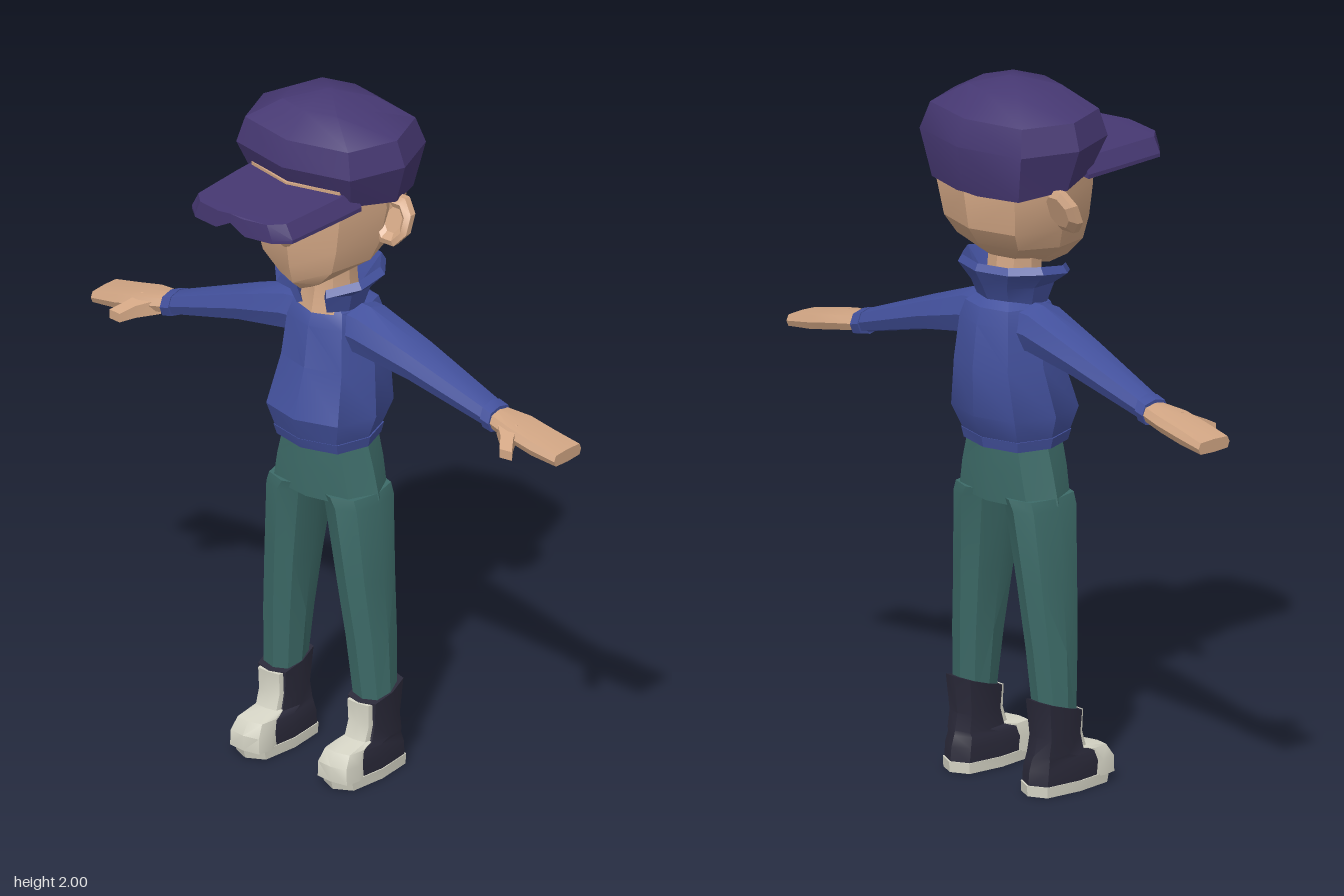
import * as THREE from 'three';
import { toCreasedNormals } from 'three/addons/utils/BufferGeometryUtils.js';

const mat = (name, color) => {
  const m = new THREE.MeshStandardMaterial({ color });
  m.name = name;
  return m;
};

// Cross-section in the horizontal plane; yb lets the back sit at another height.
function ring(y, cx, hw, zf, zb, { n = 8, e = 0.75, yb = y } = {}) {
  const pts = [];
  for (let i = 0; i < n; i++) {
    const a = (i / n) * Math.PI * 2;
    const pw = (v) => Math.sign(v) * Math.pow(Math.abs(v) < 1e-6 ? 0 : Math.abs(v), e);
    const c = pw(Math.cos(a)), s = pw(Math.sin(a));
    pts.push([cx + hw * c, y + (yb - y) * (1 - s) / 2, (zf + zb) / 2 + (zf - zb) / 2 * s]);
  }
  return pts;
}

// Cross-section across a limb that runs along x.
function limb(x, yTop, yBottom, zf, zb, e = 0.8) {
  return ring(0, (yTop + yBottom) / 2, (yTop - yBottom) / 2, zf, zb, { e }).map(([y, , z]) => [x, y, z]);
}

// Closed skin over a row of cross-sections, wound outwards; side -1 mirrors it in x.
function loft(rings, side = 1, crease = 0.5) {
  const n = rings[0].length, tris = [];
  const R = rings.map((r) => r.map(([x, y, z]) => new THREE.Vector3(x * side, y, z)));
  for (let j = 0; j + 1 < R.length; j++) {
    for (let i = 0; i < n; i++) {
      const k = (i + 1) % n;
      tris.push([R[j][i], R[j + 1][i], R[j + 1][k]], [R[j][i], R[j + 1][k], R[j][k]]);
    }
  }
  const cap = (r, flip) => {
    const c = r.reduce((s, p) => s.add(p), new THREE.Vector3()).divideScalar(n);
    r.forEach((p, i) => tris.push(flip ? [c, r[(i + 1) % n], p] : [c, p, r[(i + 1) % n]]));
  };
  cap(R[0], false);
  cap(R[R.length - 1], true);
  const cross = new THREE.Vector3();
  const volume = tris.reduce((s, [a, b, c]) => s + a.dot(cross.crossVectors(b, c)), 0);
  const pos = [];
  for (const [a, b, c] of tris) for (const p of volume > 0 ? [a, b, c] : [a, c, b]) pos.push(p.x, p.y, p.z);
  const g = new THREE.BufferGeometry();
  g.setAttribute('position', new THREE.Float32BufferAttribute(pos, 3));
  return toCreasedNormals(g, crease);
}

export function createModel() {
  const group = new THREE.Group();
  const skin = mat('skin', 0xd2a684), purple = mat('cap purple', 0x463872), blue = mat('jacket blue', 0x43519d);
  const green = mat('trouser green', 0x3d6b68), dark = mat('boot dark', 0x2a2939), cream = mat('boot cream', 0xd6d5c6);
  const add = (name, material, rings, side, crease) => {
    const m = new THREE.Mesh(loft(rings, side, crease), material);
    m.name = name;
    group.add(m);
  };

  // Head, nose and neck
  add('head', skin, [
    ring(1.79, 0, 0.2, 0.085, -0.29),
    ring(1.7, 0, 0.2, 0.085, -0.297),
    ring(1.6, 0, 0.182, 0.08, -0.28),
    ring(1.53, 0, 0.157, 0.07, -0.245, { yb: 1.55 }),
    ring(1.475, 0, 0.09, 0.055, -0.2, { yb: 1.51 }),
    ring(1.445, 0, 0.03, 0.02, -0.15, { yb: 1.49 }),
  ], 1, 0.4);
  add('nose', skin, [
    [[0.008, 1.67, 0.07], [0, 1.67, 0.088], [-0.008, 1.67, 0.07]],
    [[0.02, 1.605, 0.07], [0, 1.61, 0.105], [-0.02, 1.605, 0.07]],
    [[0.012, 1.595, 0.07], [0, 1.595, 0.088], [-0.012, 1.595, 0.07]],
  ], 1, 0.2);
  add('neck', skin, [ring(1.35, 0, 0.085, -0.025, -0.19), ring(1.42, 0, 0.068, -0.04, -0.18), ring(1.53, 0, 0.065, -0.04, -0.17)]);

  // Cap crown and brim
  add('capCrown', purple, [
    ring(1.745, 0, 0.222, 0.055, -0.295, { yb: 1.7 }),
    ring(1.84, 0, 0.26, 0.1, -0.322),
    ring(1.915, 0, 0.235, 0.08, -0.295),
    ring(1.975, 0, 0.125, 0.005, -0.215),
    ring(2.0, 0, 0.012, -0.1, -0.12),
  ], 1, 0.55);
  const brim = (z, hw, top, t) => [
    [hw, top - 0.043, z], [hw * 0.87, top, z], [0, top + 0.004, z], [-hw * 0.87, top, z], [-hw, top - 0.043, z],
    [-hw, top - 0.043 - t * 0.4, z], [-hw * 0.8, top - t, z], [0, top - t + 0.004, z], [hw * 0.8, top - t, z], [hw, top - 0.043 - t * 0.4, z],
  ];
  add('capBrim', purple, [brim(-0.01, 0.19, 1.78, 0.03), brim(0.1, 0.187, 1.78, 0.027),
    brim(0.27, 0.177, 1.779, 0.025), brim(0.308, 0.135, 1.779, 0.023), brim(0.322, 0.05, 1.779, 0.02)], 1, 0.3);

  // Jacket body, hem and open collar
  add('jacket', blue, [
    ring(0.985, 0, 0.137, 0.025, -0.225),
    ring(1.06, 0, 0.163, 0.05, -0.262),
    ring(1.2, 0, 0.138, 0.005, -0.265),
    ring(1.32, 0, 0.125, -0.012, -0.25),
    ring(1.365, 0, 0.11, -0.03, -0.235),
    ring(1.39, 0, 0.075, -0.05, -0.2),
  ], 1, 0.55);
  add('jacketHem', blue, [ring(0.965, 0, 0.138, 0.02, -0.225), ring(0.995, 0, 0.145, 0.03, -0.232)]);
  const collar = [];
  for (let i = 0; i <= 8; i++) {
    const a = THREE.MathUtils.degToRad(32 + i * 37), f = Math.max(0, Math.cos(a));
    const p = (rx, rz, y) => [rx * Math.sin(a), y, -0.108 + rz * Math.cos(a)];
    const top = 1.493 - 0.04 * f;
    collar.push([p(0.1, 0.095, 1.37), p(0.118, 0.12, 1.425), p(0.165, 0.148, top - 0.02), p(0.15, 0.138, top), p(0.092, 0.1, 1.42), p(0.08, 0.08, 1.37)]);
  }
  add('collar', blue, collar, 1, 0.4);

  // Trouser seat
  add('trouserSeat', green, [
    ring(0.99, 0, 0.125, 0, -0.215),
    ring(0.9, 0, 0.152, 0.002, -0.217),
    ring(0.81, 0, 0.174, -0.002, -0.212),
  ]);

  for (const s of [1, -1]) {
    const side = s > 0 ? 'left' : 'right';
    // Ear, a slanted flat disc
    const ear = (z, r) => Array.from({ length: 8 }, (_, i) => {
      const a = ((i + 0.5) / 8) * Math.PI * 2, y = r * 1.13 * Math.sin(a);
      return [0.213 + r * Math.cos(a), 1.665 + y, z - y * 0.4];
    });
    add(side + 'Ear', skin, [ear(-0.15, 0.042), ear(-0.135, 0.06), ear(-0.115, 0.06), ear(-0.105, 0.045), ear(-0.118, 0.03)], s, 0.4);

    // Sleeve and cuff
    add(side + 'Sleeve', blue, [
      limb(0.06, 1.38, 1.24, -0.05, -0.2),
      limb(0.13, 1.375, 1.24, -0.045, -0.2),
      limb(0.3, 1.313, 1.213, -0.06, -0.193),
      limb(0.56, 1.213, 1.147, -0.085, -0.172),
    ], s);
    add(side + 'Cuff', blue, [limb(0.548, 1.22, 1.143, -0.08, -0.177), limb(0.578, 1.21, 1.137, -0.08, -0.177)], s);

    // Hand and thumb
    add(side + 'Hand', skin, [
      limb(0.56, 1.203, 1.15, -0.09, -0.17),
      limb(0.65, 1.19, 1.138, -0.07, -0.188, 0.6),
      limb(0.73, 1.172, 1.122, -0.07, -0.187, 0.5),
      limb(0.815, 1.152, 1.115, -0.074, -0.19, 0.4),
    ], s, 0.4);
    const thumb = (x, z, w, y, h) => [[x - w, y - h, z], [x + w, y - h, z - 0.005], [x + w, y + h, z - 0.005], [x - w, y + h, z]];
    add(side + 'Thumb', skin, [thumb(0.625, -0.1, 0.035, 1.165, 0.022), thumb(0.662, -0.055, 0.02, 1.15, 0.018), thumb(0.688, -0.018, 0.02, 1.137, 0.013)], s, 0.3);

    // Trouser leg
    add(side + 'TrouserLeg', green, [
      ring(0.83, 0.085, 0.083, -0.003, -0.21),
      ring(0.8, 0.1025, 0.073, -0.003, -0.21),
      ring(0.58, 0.126, 0.065, -0.02, -0.19),
      ring(0.4, 0.145, 0.061, -0.038, -0.175),
      ring(0.2, 0.159, 0.055, -0.055, -0.16),
    ], s);

    // Boot, sole and pale toe and tongue panel
    const e = 0.6, cx = 0.154;
    add(side + 'Boot', dark, [
      ring(0.028, cx, 0.062, 0.066, -0.202, { e }),
      ring(0.07, cx, 0.063, 0.066, -0.198, { e }),
      ring(0.1, cx, 0.058, 0.048, -0.188, { e }),
      ring(0.112, cx + 0.003, 0.055, -0.025, -0.182, { e }),
      ring(0.16, cx + 0.004, 0.054, -0.04, -0.172, { e }),
      ring(0.222, cx + 0.004, 0.06, -0.036, -0.183, { e, yb: 0.266 }),
    ], s, 0.6);
    add(side + 'BootSole', cream, [ring(0, cx, 0.064, 0.07, -0.205, { e }), ring(0.03, cx, 0.065, 0.078, -0.207, { e })], s, 0.6);
    const q = { e: 0.45 };
    add(side + 'BootTongue', cream, [
      ring(0.025, cx, 0.06, 0.079, -0.02, q),
      ring(0.07, cx, 0.058, 0.08, -0.03, q),
      ring(0.105, cx, 0.05, 0.058, -0.06, q),
      ring(0.117, cx + 0.002, 0.042, -0.018, -0.08, q),
      ring(0.16, cx + 0.003, 0.042, -0.033, -0.09, q),
      ring(0.222, cx + 0.003, 0.043, -0.03, -0.09, q),
    ], s, 0.6);
  }
  return group;
}
